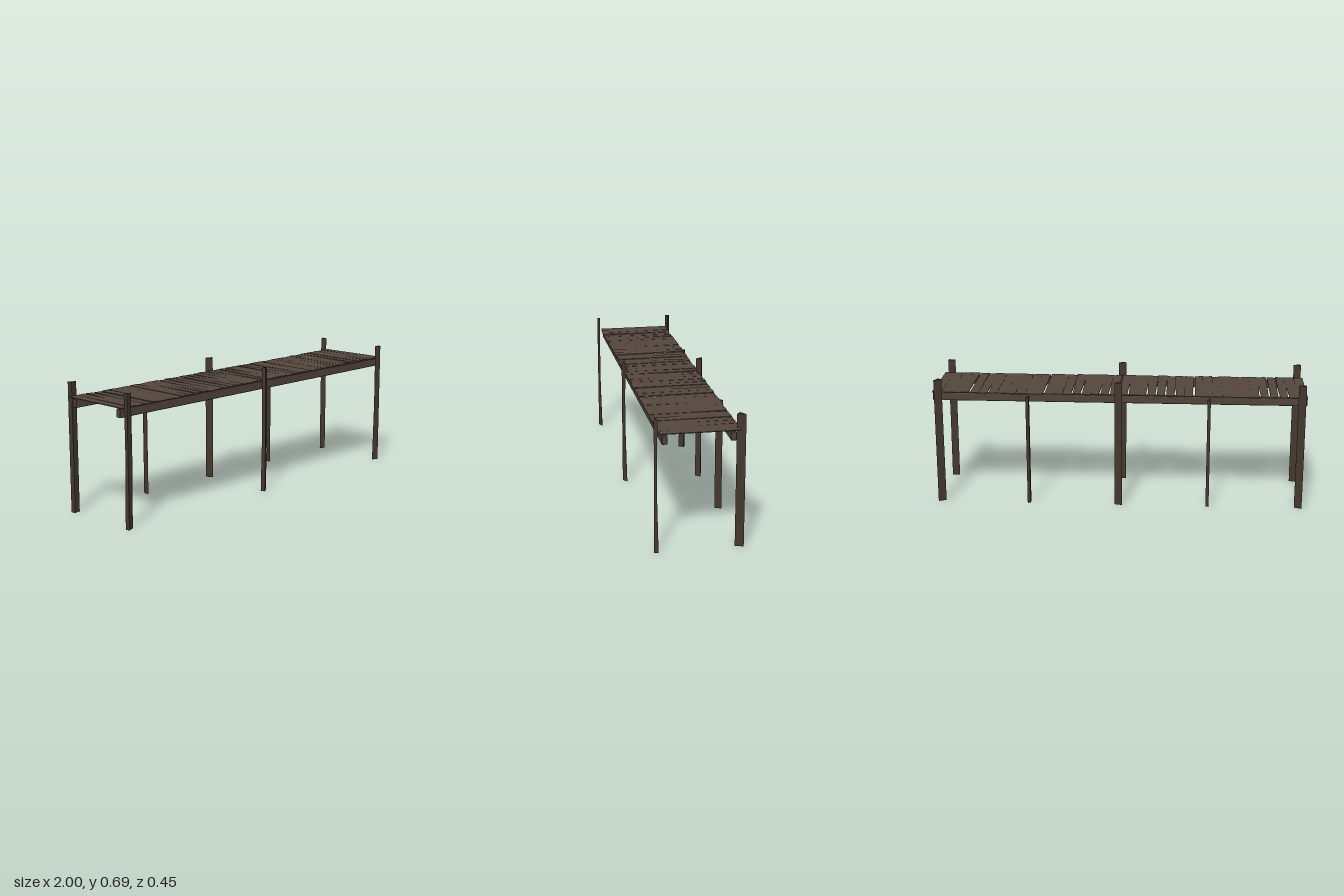
import * as THREE from 'three';
import { RoundedBoxGeometry } from 'three/addons/geometries/RoundedBoxGeometry.js';

const mat = (color) => new THREE.MeshStandardMaterial({ color, flatShading: true });

// Small seeded generator returning values in -1..1
function seeded(seed) {
  return () => {
    seed = (seed * 16807) % 2147483647;
    return (seed / 2147483647) * 2 - 1;
  };
}

// Rough three-sided post from [x, z] corners; the inner side can be hewn thinner at mid height
function postGeometry(corners, height, hewn) {
  const shape = new THREE.Shape(corners.map(([x, z]) => new THREE.Vector2(x, -z)));
  const geo = new THREE.ExtrudeGeometry(shape, { depth: height, steps: 4, bevelEnabled: false });
  geo.rotateX(-Math.PI / 2);
  const outer = Math.max(...corners.map((c) => c[1]));
  const p = geo.attributes.position;
  if (hewn) {
    for (let i = 0; i < p.count; i++) {
      const t = p.getY(i) / height;
      const s = t < 0.55 ? 1 - 0.8 * t : 0.56 + 0.5 * (t - 0.55);
      p.setZ(i, outer + (p.getZ(i) - outer) * s);
    }
  }
  geo.computeVertexNormals();
  return geo;
}

// Thin board whose four corners are set separately at the back and front ends
function plankGeometry(back, front, zBack, zFront, y, tilt) {
  const geo = new THREE.BoxGeometry(1, 0.004, 1);
  const p = geo.attributes.position;
  for (let i = 0; i < p.count; i++) {
    const right = p.getX(i) > 0 ? 1 : 0;
    const atFront = p.getZ(i) > 0;
    p.setXYZ(
      i,
      (atFront ? front : back)[right],
      y + p.getY(i) + tilt * (right - 0.5) * (atFront ? 1 : -0.6),
      atFront ? zFront : zBack
    );
  }
  geo.computeVertexNormals();
  return geo;
}

export function createModel() {
  const model = new THREE.Group();
  model.name = 'pier';
  const deckWood = mat(0x54463d);
  const beamWood = mat(0x50433a);
  const postWood = mat(0x43372d);
  const rand = seeded(77);

  const add = (parent, name, geo, material) => {
    const mesh = new THREE.Mesh(geo, material);
    mesh.name = name;
    parent.add(mesh);
    return mesh;
  };

  // Two long beams under the deck
  for (const [name, z] of [['frontBeam', 0.176], ['backBeam', -0.159]]) {
    add(model, name, new RoundedBoxGeometry(2, 0.044, 0.028, 2, 0.004), beamWood)
      .position.set(0, 0.584, z);
  }

  // Gaps between planks: x of the joint -> z where the gap closes (0.2 = open all the way)
  const gaps = new Map([
    [-0.9, 0], [-0.85, 0.17], [-0.8, 0.2], [-0.75, 0.02], [-0.4, 0.2], [-0.3, 0],
    [-0.25, 0.17], [-0.2, 0.12], [-0.15, 0.06], [-0.05, 0.05], [0, 0.2], [0.05, 0.05],
    [0.1, 0], [0.2, 0.12], [0.25, 0.05], [0.4, 0.2], [0.7, 0], [0.8, 0.2],
  ].map(([x, z]) => [Math.round((x + 1) * 20), z]));

  // Half width of a joint at the back and front ends
  const joint = (i) => {
    if (!gaps.has(i)) return [0, 0];
    const close = gaps.get(i);
    return [0.005, close >= 0.2 ? 0.003 : -0.005 * (0.2 - close) / (close + 0.2)];
  };

  // Deck planks
  const deck = new THREE.Group();
  deck.name = 'deck';
  model.add(deck);
  for (let i = 0; i < 40; i++) {
    const x0 = -1 + i * 0.05;
    const x1 = x0 + 0.05;
    const l = joint(i);
    const r = joint(i + 1);
    add(deck, 'plank', plankGeometry(
      [x0 + l[0], x1 - r[0]], [x0 + l[1], x1 - r[1]],
      -0.196 + rand() * 0.003, 0.202 + rand() * 0.004,
      0.612 + rand() * 0.0015, rand() * 0.004
    ), deckWood);
  }

  // Posts: tall ones at both ends and the middle, short ones between them at the back
  const posts = [
    ['frontPost', 0.685, [[-0.99, 0.203], [-0.95, 0.21], [-0.985, 0.225]]],
    ['frontPost', 0.685, [[-0.02, 0.204], [0.02, 0.204], [-0.008, 0.225]]],
    ['frontPost', 0.685, [[0.985, 0.203], [0.945, 0.211], [0.98, 0.225]]],
    ['backPost', 0.685, [[-0.99, -0.222], [-0.95, -0.205], [-0.985, -0.198]]],
    ['backPost', 0.685, [[-0.02, -0.222], [0.02, -0.212], [0, -0.185]]],
    ['backPost', 0.685, [[0.984, -0.222], [0.968, -0.18], [0.945, -0.2]]],
    ['shortBackPost', 0.6, [[-0.49, -0.222], [-0.473, -0.215], [-0.49, -0.188]]],
    ['shortBackPost', 0.6, [[0.494, -0.222], [0.478, -0.215], [0.478, -0.188]]],
  ];
  for (const [name, height, corners] of posts) {
    add(model, name, postGeometry(corners, height, name === 'frontPost'), postWood);
  }

  return model;
}
